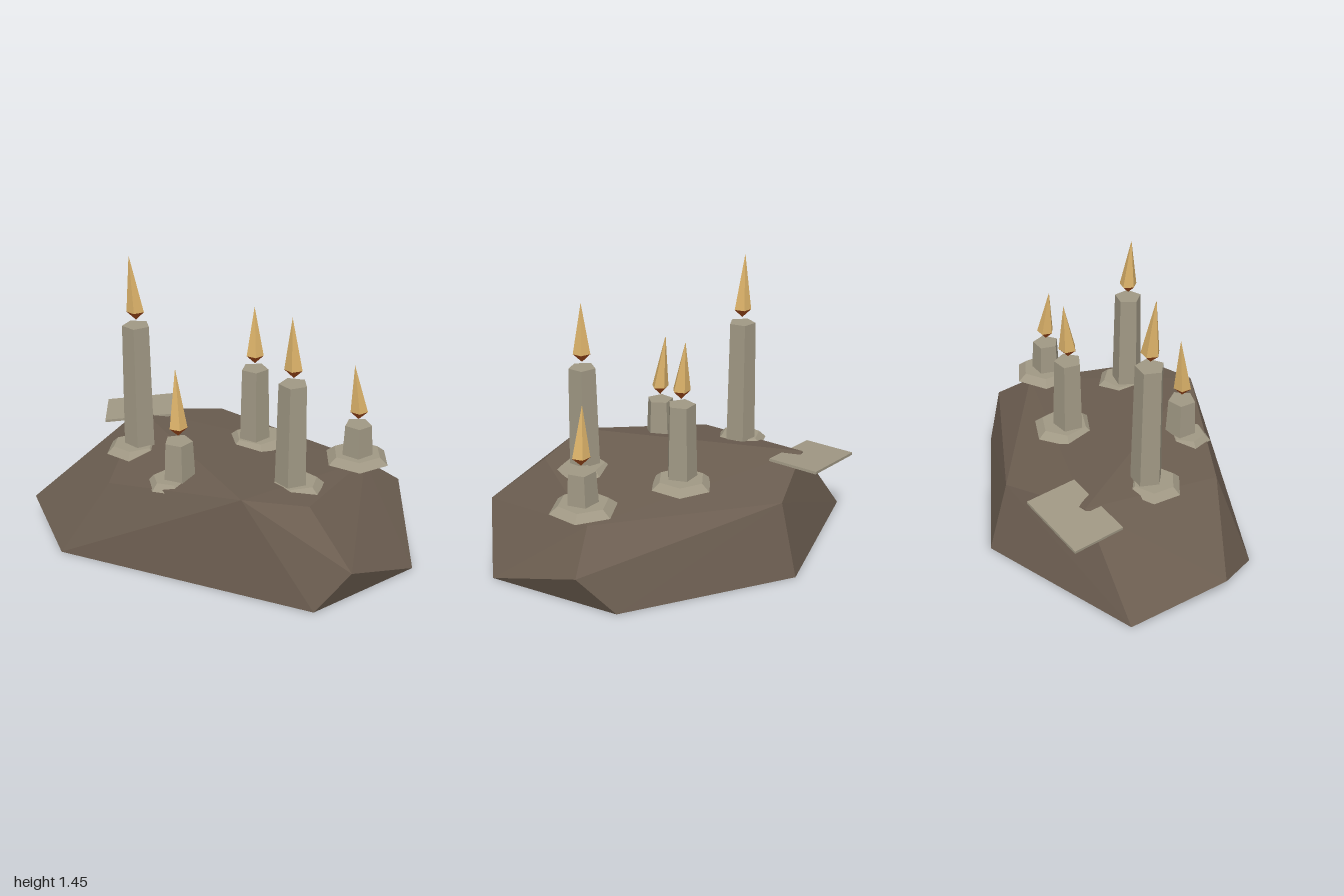
import * as THREE from 'three';
import { ConvexGeometry } from 'three/addons/geometries/ConvexGeometry.js';

const material = (name, color) => {
  const m = new THREE.MeshStandardMaterial({ color, flatShading: true });
  m.name = name;
  return m;
};

export function createModel() {
  const rock = material('brown rock', 0x6b5d50);
  const stone = material('pale wax grey', 0xa09884);
  const flame = material('amber flame', 0xd9b068);
  const ember = material('burnt orange', 0xb0521f);

  const model = new THREE.Group();
  model.name = 'candleRock';
  const add = (parent, name, geometry, mat, x = 0, y = 0, z = 0) => {
    const mesh = new THREE.Mesh(geometry, mat);
    mesh.name = name;
    mesh.position.set(x, y, z);
    parent.add(mesh);
    return mesh;
  };

  // Faceted boulder: footprint, shoulder and crown corners
  const corners = [
    [-1, 0, -0.05], [-0.67, 0, 0.63], [0.68, 0, 0.615], [1, 0, 0.065], [0.6, 0, -0.525], [-0.33, 0, -0.635],
    [-0.945, 0.155, 0.42], [0.83, 0.2, 0.53], [0.77, 0.195, -0.45],
    [-0.64, 0.45, -0.2], [-0.45, 0.38, 0.5], [0.29, 0.48, 0.56], [0.57, 0.425, 0.4],
    [0.63, 0.36, -0.28], [-0.3, 0.375, -0.535],
  ];
  add(model, 'boulder', new ConvexGeometry(corners.map((c) => new THREE.Vector3(...c))), rock);

  // Thin slab resting on the back corner
  const slab = add(model, 'slab', new THREE.BoxGeometry(0.39, 0.014, 0.275), stone, -0.66, 0.435, -0.255);
  slab.rotation.set(0, 0.45, 0.085, 'YXZ');

  // Candles: centre, top height, flame tip offset and height, wax pool centre and radius, turn
  const candles = [
    { x: -0.46, z: 0.14, top: 1.09, tip: [-0.02, 1.45, 0.015], pool: [-0.485, 0.17, 0.145], turn: 0.3 },
    { x: 0.413, z: 0.23, top: 0.96, tip: [-0.008, 1.29, 0.012], pool: [0.428, 0.21, 0.147], turn: 0.15 },
    { x: 0.058, z: -0.155, top: 0.83, tip: [-0.012, 1.155, -0.02], pool: [0.07, -0.18, 0.165], turn: 0.5 },
    { x: -0.11, z: 0.4, top: 0.635, tip: [-0.022, 1.0, -0.025], pool: [-0.14, 0.43, 0.12], turn: 0.65 },
    { x: 0.612, z: -0.187, top: 0.605, tip: [-0.025, 0.93, 0.022], pool: [0.61, -0.195, 0.172], turn: 0.4 },
  ];
  candles.forEach(({ x, z, top, tip, pool, turn }) => {
    const candle = new THREE.Group();
    candle.name = 'candle';
    model.add(candle);

    const base = add(candle, 'waxPool', new THREE.CylinderGeometry(pool[2] * 0.74, pool[2], 0.035, 6), stone, pool[0], 0.427, pool[1]);
    base.rotation.y = turn;

    const height = top - 0.41;
    const shaft = add(candle, 'candleShaft', new THREE.CylinderGeometry(0.071, 0.082, height, 5), stone, x, 0.41 + height / 2, z);
    shaft.rotation.y = turn;

    // Flame leans by shifting its tip
    const girdle = top + 0.073;
    const length = tip[1] - girdle;
    const cone = new THREE.ConeGeometry(0.046, length, 5, 1, true).translate(0, length / 2, 0).rotateY(turn);
    const p = cone.attributes.position;
    for (let i = 0; i < p.count; i++) {
      const t = p.getY(i) / length;
      p.setX(i, p.getX(i) + tip[0] * t);
      p.setZ(i, p.getZ(i) + tip[2] * t);
    }
    cone.computeVertexNormals();
    add(candle, 'flame', cone, flame, x, girdle, z);

    const root = new THREE.CylinderGeometry(0.046, 0, 0.045, 5, 1, true).rotateY(turn);
    add(candle, 'flameRoot', root, ember, x, girdle - 0.0225, z);
  });

  return model;
}
